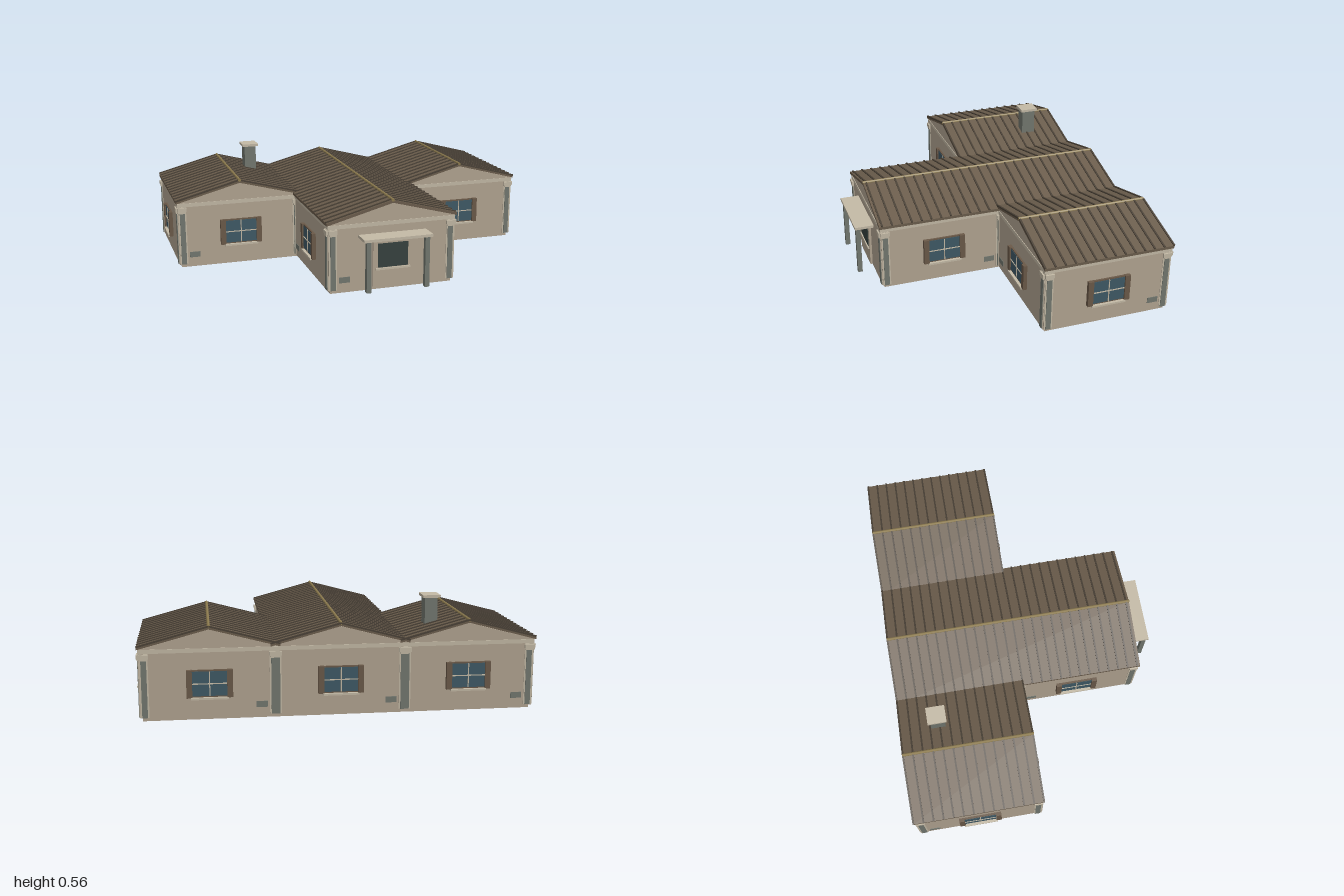
import * as THREE from 'three';

const mat = (color, extra = {}) => new THREE.MeshStandardMaterial({ color, ...extra });
const WALL = mat(0xb3a592), TRIM = mat(0xc4baa6), GREY = mat(0x737870), ROOF = mat(0x6b5d4c);
const RIB = mat(0x4a4136), RIDGE = mat(0x8f7d50), GLASS = mat(0x3f5a66), SHUTTER = mat(0x6b5a49);
const DARK = mat(0x36423f);

const PITCH = 0.64, HALF = 0.335;        // module spacing and half wall width
const EAVE_X = 0.345, EAVE_Y = 0.37, RIDGE_Y = 0.462;

function box(parent, name, material, w, h, d, x, y, z) {
  const m = new THREE.Mesh(new THREE.BoxGeometry(w, h, d), material);
  m.name = name;
  m.position.set(x, y, z);
  parent.add(m);
  return m;
}

// Prism with an x-y outline, running from z0 to z1
function prism(parent, name, material, points, z0, z1) {
  const shape = new THREE.Shape(points.map(([x, y]) => new THREE.Vector2(x, y)));
  const geo = new THREE.ExtrudeGeometry(shape, { depth: z1 - z0, bevelEnabled: false });
  const m = new THREE.Mesh(geo, material);
  m.name = name;
  m.position.z = z0;
  parent.add(m);
  return m;
}

// Window with shutters, glazing bars and sill, on a face at z = HALF
function addWindow(face) {
  const g = new THREE.Group();
  g.name = 'window';
  g.position.set(0, 0.183, HALF);
  box(g, 'windowFrame', SHUTTER, 0.18, 0.136, 0.012, 0, 0, 0.004);
  box(g, 'glass', GLASS, 0.168, 0.122, 0.012, 0, 0, 0.006);
  box(g, 'glazingBarVertical', TRIM, 0.005, 0.122, 0.006, 0, 0, 0.012);
  box(g, 'glazingBarHorizontal', TRIM, 0.168, 0.005, 0.006, 0, 0, 0.012);
  box(g, 'sill', TRIM, 0.18, 0.01, 0.025, 0, -0.072, 0.0125);
  for (const s of [-1, 1]) box(g, 'shutter', SHUTTER, 0.028, 0.138, 0.02, s * 0.098, 0, 0.01);
  face.add(g);
}

// Door with pane, surround and a small canopy on two posts
function addPorch(face) {
  const g = new THREE.Group();
  g.name = 'porch';
  g.position.z = HALF;
  box(g, 'doorPanel', WALL, 0.21, 0.245, 0.012, 0, 0.1425, 0.006);
  box(g, 'doorPane', DARK, 0.16, 0.125, 0.006, 0, 0.183, 0.012);
  box(g, 'doorSill', TRIM, 0.185, 0.01, 0.016, 0, 0.113, 0.012);
  box(g, 'canopy', TRIM, 0.36, 0.014, 0.1, 0, 0.29, 0.05);
  for (const s of [-1, 1]) box(g, 'porchPost', GREY, 0.024, 0.264, 0.024, s * 0.154, 0.152, 0.081);
  face.add(g);
}

// One dressed wall face: pilasters, frieze, vent and opening
function addFace(parent, name, angle, ventSide, opening) {
  const f = new THREE.Group();
  f.name = name;
  f.rotation.y = angle;
  for (const s of [-1, 1]) {
    box(f, 'pilasterBacking', TRIM, 0.042, 0.315, 0.006, s * 0.312, 0.1775, HALF);
    box(f, 'pilaster', GREY, 0.027, 0.285, 0.012, s * 0.312, 0.1625, HALF);
    box(f, 'capitalLower', TRIM, 0.036, 0.01, 0.018, s * 0.312, 0.306, HALF);
    box(f, 'capitalUpper', TRIM, 0.046, 0.02, 0.022, s * 0.312, 0.321, HALF);
  }
  box(f, 'frieze', TRIM, 2 * HALF + 0.006, 0.02, 0.006, 0, 0.346, HALF);
  box(f, 'vent', GREY, 0.056, 0.03, 0.006, ventSide * 0.252, 0.07, HALF);
  opening(f);
  parent.add(f);
}

// Gabled roof with standing ribs and ridge cap
function addRoof(parent, cx, z0, z1) {
  const g = new THREE.Group();
  g.name = 'roof';
  g.position.x = cx;
  const t = 0.014;
  prism(g, 'roofSheet', ROOF, [[-EAVE_X, EAVE_Y - t], [0, RIDGE_Y - t], [EAVE_X, EAVE_Y - t],
    [EAVE_X, EAVE_Y], [0, RIDGE_Y], [-EAVE_X, EAVE_Y]], z0, z1);
  const slope = Math.atan2(RIDGE_Y - EAVE_Y, EAVE_X);
  const length = Math.hypot(RIDGE_Y - EAVE_Y, EAVE_X);
  for (let z = 0.606; z > z0; z -= 0.0523) {
    if (z > z1) continue;
    for (const s of [-1, 1]) {
      const rib = box(g, 'roofRib', RIB, length, 0.008, 0.009, s * EAVE_X / 2, (EAVE_Y + RIDGE_Y) / 2 + 0.001, z);
      rib.rotation.z = -s * slope;
    }
  }
  const cap = new THREE.Mesh(new THREE.CylinderGeometry(0.008, 0.008, z1 - z0 + 0.004, 8), RIDGE);
  cap.name = 'ridgeCap';
  cap.rotation.x = Math.PI / 2;
  cap.position.set(0, RIDGE_Y, (z0 + z1) / 2);
  g.add(cap);
  parent.add(g);
}

export function createModel() {
  const model = new THREE.Group();
  model.name = 'house';
  const zBack = -0.36, zFront = zBack + PITCH;
  const Q = Math.PI / 2;

  // Modules: three in the back row, one in front; each lists its exposed faces
  const modules = [
    { name: 'rightWing', x: -PITCH, z: zBack, faces: ['front', 'back', 'right'] },
    { name: 'centreModule', x: 0, z: zBack, faces: ['back'] },
    { name: 'leftWing', x: PITCH, z: zBack, faces: ['front', 'back', 'left'] },
    { name: 'entranceModule', x: 0, z: zFront, faces: ['entrance', 'left', 'right'] },
  ];
  const sides = {
    front: [0, -1, addWindow], entrance: [0, -1, addPorch], back: [2 * Q, 1, addWindow],
    left: [Q, 1, addWindow], right: [-Q, -1, addWindow],
  };
  for (const { name, x, z, faces } of modules) {
    const g = new THREE.Group();
    g.name = name;
    g.position.set(x, 0, z);
    box(g, 'base', WALL, 0.648, 0.022, 0.648, 0, 0.011, 0);
    prism(g, 'walls', WALL, [[-HALF, 0.017], [HALF, 0.017], [HALF, 0.357], [0, 0.446], [-HALF, 0.357]], -HALF, HALF);
    for (const f of faces) addFace(g, f + 'Face', ...sides[f]);
    model.add(g);
  }

  // Roofs: the centre one runs on over the entrance
  addRoof(model, -PITCH, -0.702, -0.018);
  addRoof(model, 0, -0.702, 0.622);
  addRoof(model, PITCH, -0.702, -0.018);

  // Chimney
  box(model, 'chimney', GREY, 0.065, 0.2, 0.076, -0.485, 0.45, -0.5);
  box(model, 'chimneyCap', TRIM, 0.09, 0.014, 0.098, -0.485, 0.557, -0.5);
  return model;
}
